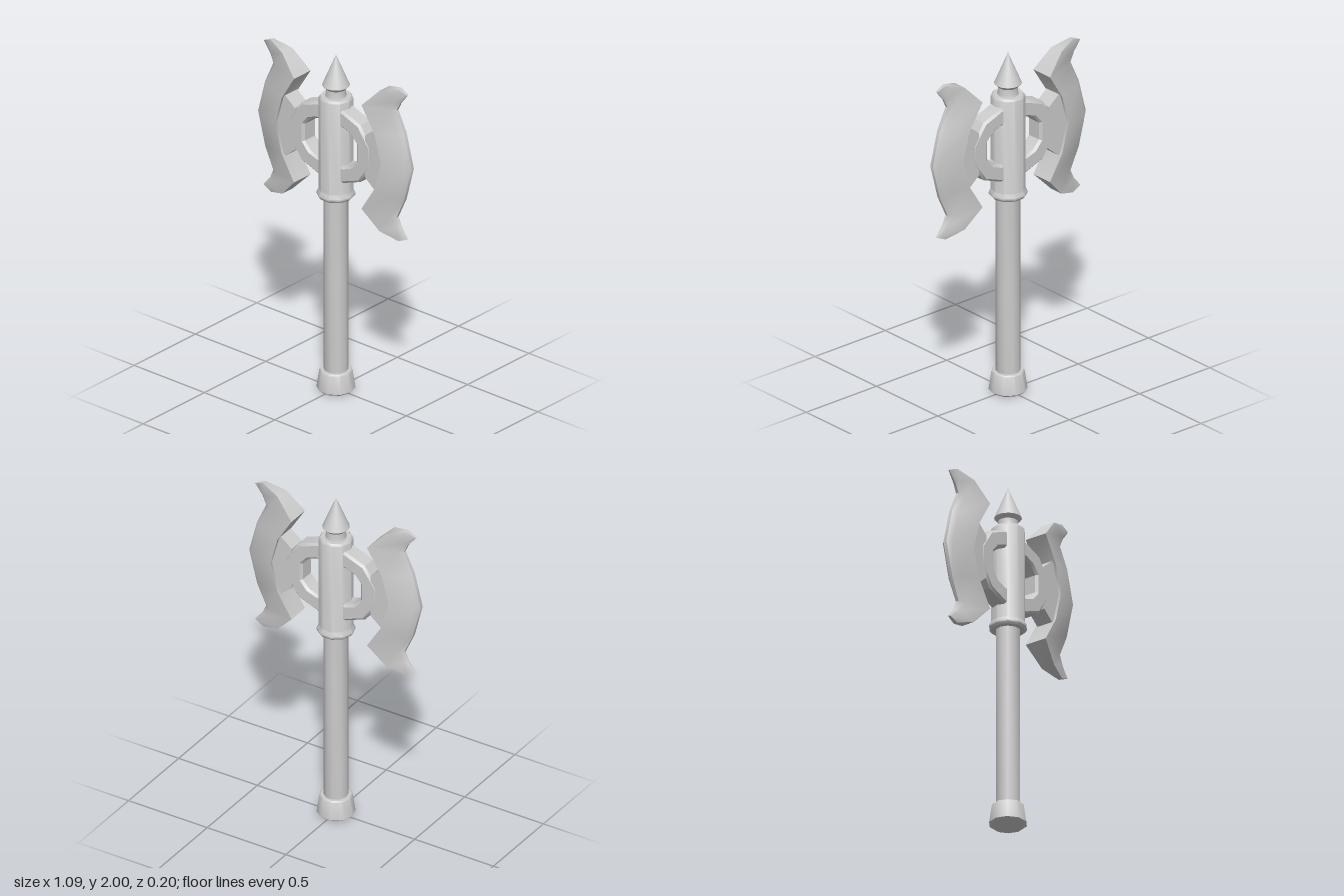
import * as THREE from 'three';
import { toCreasedNormals } from 'three/addons/utils/BufferGeometryUtils.js';

const steel = new THREE.MeshStandardMaterial({ color: 0xcccccc });
steel.name = 'grey steel';
const MID = 1.49; // height of the blades' centre line

function part(name, geometry, crease = 0.7) {
  const mesh = new THREE.Mesh(toCreasedNormals(geometry, crease), steel);
  mesh.name = name;
  return mesh;
}

// Turned part from [radius, height] pairs, with corners on the x axis
function turned(name, profile, sides = 10) {
  const g = new THREE.LatheGeometry(profile.map(p => new THREE.Vector2(...p)), sides);
  return part(name, g.rotateY(Math.PI / 2));
}

// Plate in the xy plane, mirrored about its middle, with a small bevel
function plate(name, half, halfDepth, bevel) {
  const low = half.filter(p => p[1] !== 0).map(([x, y]) => [x, -y]).reverse();
  const shape = new THREE.Shape([...half, ...low].map(p => new THREE.Vector2(...p)));
  const g = new THREE.ExtrudeGeometry(shape, {
    depth: 2 * (halfDepth - bevel), bevelEnabled: bevel > 0,
    bevelThickness: bevel, bevelSize: bevel, bevelOffset: -bevel, bevelSegments: 1,
  });
  return part(name, g.translate(0, MID, bevel - halfDepth), 0.5);
}

// Half ring: outer and inner outline of the upper quarter
function halfRing() {
  const outer = [[0.04, 0.215], [0.09, 0.215], [0.21, 0.17], [0.29, 0.055]];
  const inner = [[0.185, 0.05], [0.145, 0.095], [0.09, 0.115], [0.04, 0.115]];
  const flip = list => list.map(([x, y]) => [x, -y]).reverse();
  const outline = [...outer, ...flip(outer), ...flip(inner), ...inner];
  const shape = new THREE.Shape(outline.map(p => new THREE.Vector2(...p)));
  const g = new THREE.ExtrudeGeometry(shape, {
    depth: 0.08, bevelThickness: 0.013, bevelSize: 0.013, bevelOffset: -0.013, bevelSegments: 1,
  });
  return part('ring', g.translate(0, MID, -0.04), 0.5);
}

// Blade lofted through sections running from the lower tip to the upper tip
function blade() {
  // inner x, inner y, outer x, outer y, half thickness at back, at shoulder
  const upper = [
    [0.375, 0, 0.545, 0, 0.065, 0.034],
    [0.33, 0.165, 0.495, 0.195, 0.066, 0.033],
    [0.24, 0.31, 0.438, 0.32, 0.068, 0.028],
    [0.345, 0.42, 0.463, 0.372, 0.042, 0.02],
    [0.454, 0.455, 0.512, 0.43, 0.012, 0.008],
  ];
  const lower = upper.slice(1).map(([a, b, c, d, e, f]) => [a, -b, c, -d, e, f]).reverse();
  const rows = [...lower, ...upper].map(([ix, iy, ox, oy, back, shoulder]) => {
    const at = (t, z) => [ix + (ox - ix) * t, MID + iy + (oy - iy) * t, z];
    const edge = shoulder * 0.3;
    return [at(0, back), at(0.85, shoulder), at(1, edge),
      at(1, -edge), at(0.85, -shoulder), at(0, -back)];
  });
  const pos = [], index = [], n = 6, last = (rows.length - 1) * n;
  rows.forEach(r => r.forEach(p => pos.push(...p)));
  for (let i = 0; i < rows.length - 1; i++) {
    for (let j = 0; j < n; j++) {
      const a = i * n + j, b = i * n + (j + 1) % n;
      index.push(a, b, b + n, a, b + n, a + n);
    }
  }
  for (let j = 1; j < n - 1; j++) {
    index.push(0, j + 1, j, last, last + j, last + j + 1);
  }
  const g = new THREE.BufferGeometry();
  g.setAttribute('position', new THREE.Float32BufferAttribute(pos, 3));
  g.setIndex(index);
  return part('blade', g, 0.75);
}

export function createModel() {
  const axe = new THREE.Group();
  axe.name = 'doubleAxe';

  // Handle
  axe.add(turned('pommel', [[0, 0], [0.09, 0], [0.105, 0.012], [0.09, 0.115], [0.084, 0.122], [0, 0.122]]));
  axe.add(turned('shaft', [[0.068, 0.1], [0.068, 1.18]]));

  // Socket holding the head, with a flange below
  axe.add(turned('socket', [[0, 1.155], [0.094, 1.155], [0.105, 1.168], [0.105, 1.178], [0.094, 1.2],
    [0.094, 1.745], [0.084, 1.757], [0, 1.757]]));

  // Spike on top
  axe.add(turned('neck', [[0.06, 1.75], [0.055, 1.77], [0.055, 1.81]], 16));
  axe.add(turned('spike', [[0, 1.8], [0.055, 1.8], [0.075, 1.82], [0, 2]], 16));

  // Matching halves of the head
  for (const side of ['left', 'right']) {
    const half = new THREE.Group();
    half.name = side + 'Head';
    half.add(halfRing());
    half.add(plate('bladeMount', [[0.25, 0.125], [0.317, 0.18], [0.35, 0.165], [0.39, 0], [0.25, 0]]
      .slice(0, 4).reverse(), 0.05, 0));
    half.add(blade());
    if (side === 'right') half.rotation.y = Math.PI;
    axe.add(half);
  }
  return axe;
}
